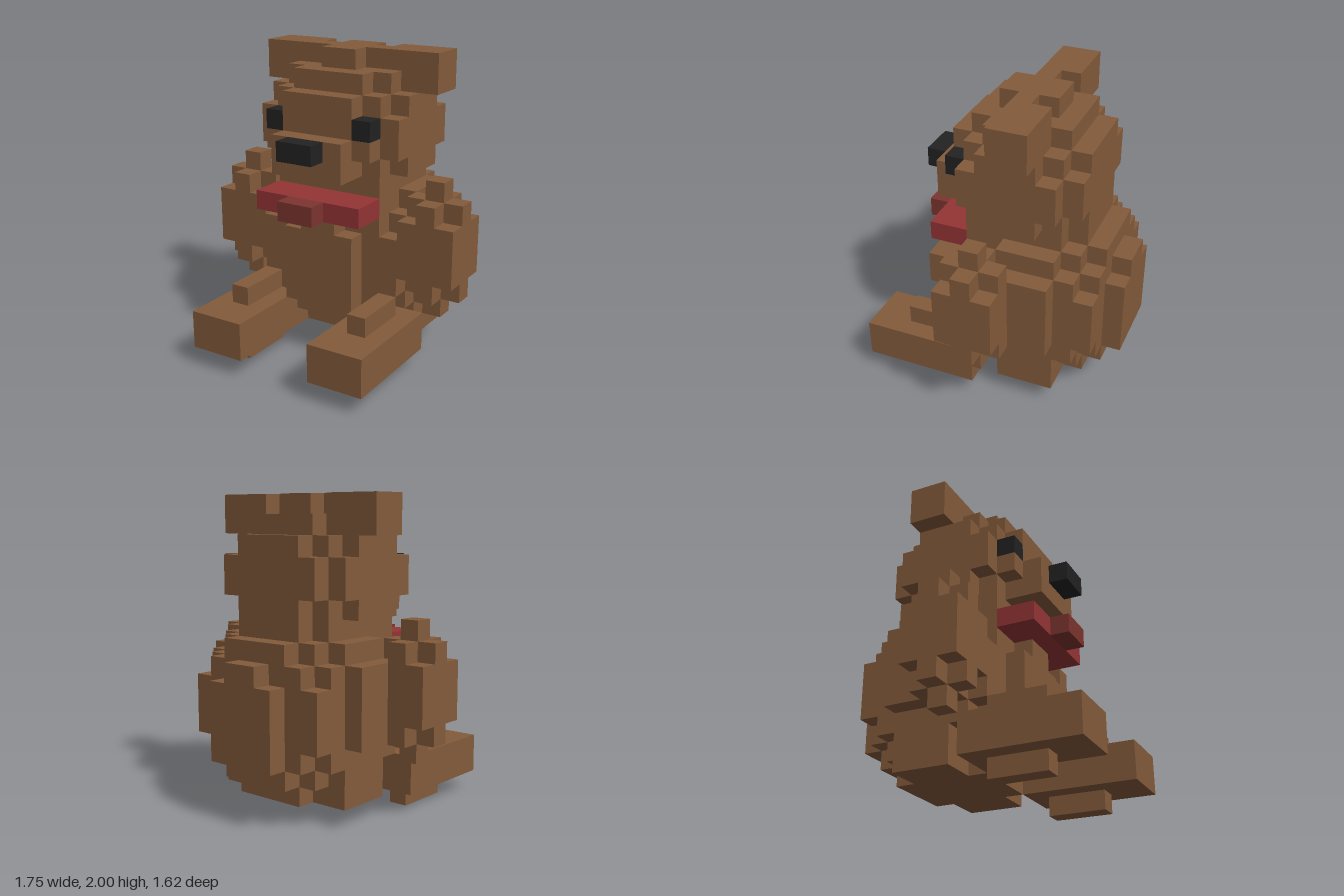
import * as THREE from 'three';

const U = 0.125; // one block

export function createModel() {
  const model = new THREE.Group();
  const material = (name, color) => {
    const m = new THREE.MeshStandardMaterial({ color });
    m.name = name;
    return m;
  };
  const fur = material('brownFur', 0x835b3b);
  const black = material('black', 0x222222);
  const red = material('redScarf', 0x943435);
  const darkRed = material('darkRedKnot', 0x7d342f);

  const part = (name) => {
    const g = new THREE.Group();
    g.name = name;
    model.add(g);
    return g;
  };
  // Box from block bounds
  const box = (parent, name, mat, x0, x1, y0, y1, z0, z1) => {
    const mesh = new THREE.Mesh(new THREE.BoxGeometry((x1 - x0) * U, (y1 - y0) * U, (z1 - z0) * U), mat);
    mesh.position.set((x0 + x1) / 2 * U, (y0 + y1) / 2 * U, (z0 + z1) / 2 * U);
    mesh.name = name;
    parent.add(mesh);
  };
  // Rounded mass: each slab is [bottom, top, [halfWidth, back, front]...]
  const slabs = (parent, name, list) => {
    for (const [y0, y1, ...spans] of list) {
      for (const [w, z0, z1] of spans) box(parent, name, fur, -w, w, y0, y1, z0, z1);
    }
  };

  slabs(part('body'), 'bodySlab', [
    [1, 2, [2, -4.5, 0.5], [4, -3.5, -0.5]],
    [2, 3, [2, -5.5, 1.5], [3, -4.5, 0.5], [4, -3.5, -0.5]],
    [3, 4, [2, -6.5, 2.5], [3, -5.5, 1.5], [4, -4.5, 0.5]],
    [4, 7, [2, -6.5, 2.5], [4, -5.5, 1.5], [5, -3.5, -0.5]],
    [7, 8, [1, -6.5, 2.5], [3, -5.5, 1.5], [4, -4.5, 0.5], [5, -3.5, -0.5]],
    [8, 9, [2, -5.5, 1.5], [3, -4.5, 1.5], [4, -3.5, -0.5]],
  ]);

  const head = part('head');
  slabs(head, 'headSlab', [
    [9, 10, [2, -4.5, 1.5], [3, -3.5, 1.5]],
    [10, 11, [2, -4.5, 2.5], [3, -3.5, 1.5], [4, -2.5, 0.5]],
    [11, 12, [3, -4.5, 2.5], [4, -3.5, 1.5]],
    [12, 13, [2, -4.5, 2.5], [3, -4.5, 1.5], [4, -3.5, 1.5]],
    [13, 14, [2, -4.5, 2.5], [3, -3.5, 1.5], [4, -2.5, 0.5]],
    [14, 15, [2, -3.5, 1.5], [3, -2.5, 0.5]],
    [15, 16, [1, -2.5, 0.5], [2, -1.5, -0.5]],
  ]);
  box(head, 'muzzle', fur, -2, 2, 10, 12, 2.5, 3.5);
  box(head, 'nose', black, -1, 1, 11, 12, 3.5, 4.5);

  const scarf = part('scarf');
  box(scarf, 'scarfBand', red, -3, 3, 8, 9, 1.5, 3.5);
  box(scarf, 'scarfKnot', darkRed, -1, 1, 8, 9, 3.5, 4.5);

  // Mirrored parts
  for (const [side, s] of [['left', 1], ['right', -1]]) {
    const pair = (parent, name, mat, x0, x1, ...rest) =>
      box(parent, name, mat, Math.min(s * x0, s * x1), Math.max(s * x0, s * x1), ...rest);

    pair(head, side + 'Eye', black, 2, 3, 12, 13, 1.5, 2.5);
    pair(head, side + 'Ear', fur, 2, 5, 14, 16, -2.5, -0.5);

    const arm = part(side + 'Arm');
    pair(arm, 'armCore', fur, 5, 6, 3, 10, -0.5, 0.5);
    pair(arm, 'armWidth', fur, 4, 7, 4, 9, -0.5, 0.5);
    pair(arm, 'armDepth', fur, 5, 6, 4, 9, -1.5, 1.5);
    pair(arm, 'armMiddle', fur, 4, 7, 5, 8, -1.5, 1.5);

    const leg = part(side + 'Leg');
    pair(leg, 'legBlock', fur, 2, 5, 1, 3, 0.5, 6.5);
    pair(leg, 'legRidge', fur, 3, 4, 0, 4, 1.5, 4.5);
  }
  return model;
}
